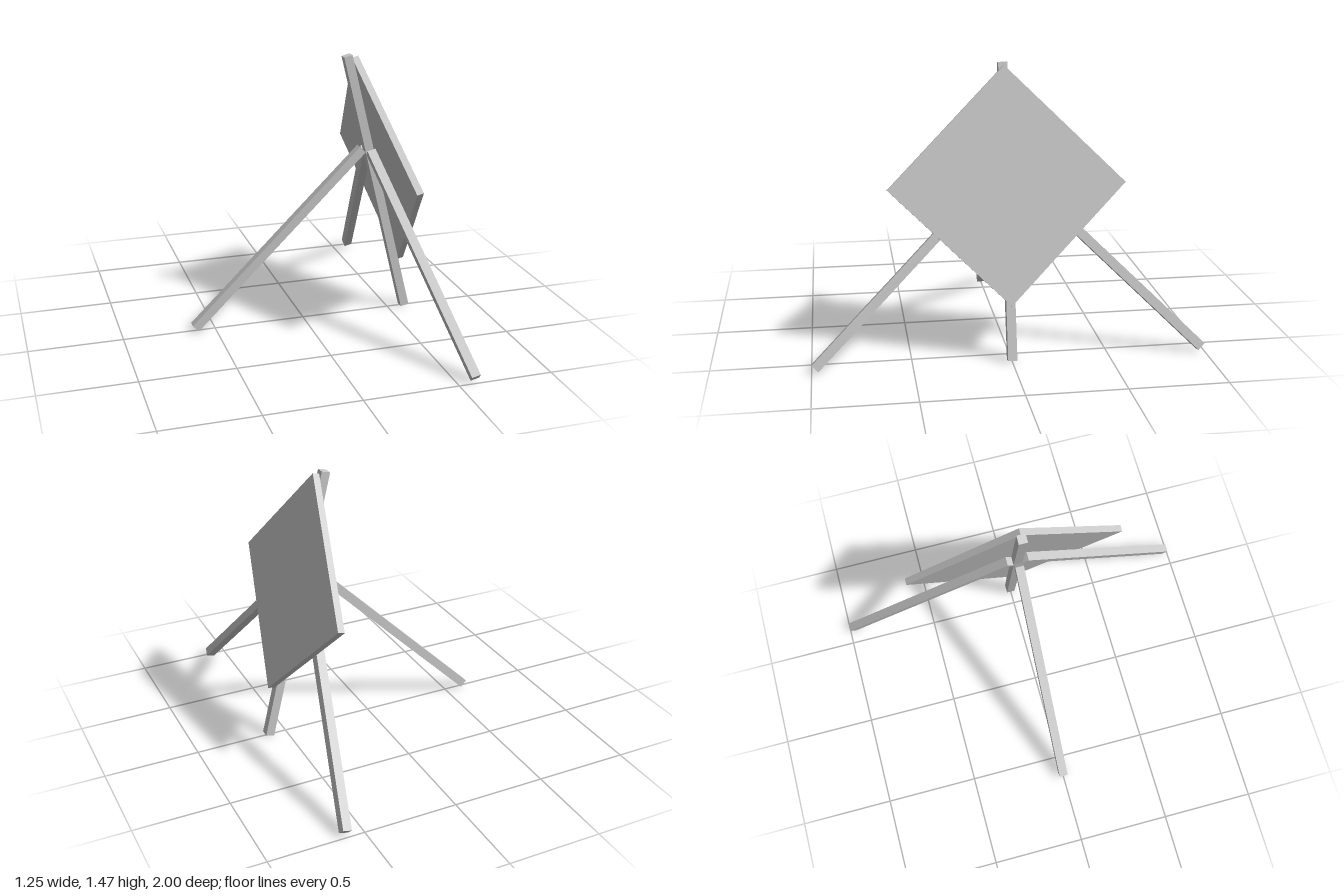
import * as THREE from 'three';

const BEAM = 0.047; // square section shared by post and legs
const TILT = 0.24; // backward lean of the easel face

export function createModel() {
  const model = new THREE.Group();
  model.name = 'easel';
  const material = new THREE.MeshStandardMaterial({ color: 0xcccccc, flatShading: true });

  function box(name, parent, size, position) {
    const mesh = new THREE.Mesh(new THREE.BoxGeometry(...size), material);
    mesh.name = name;
    mesh.position.set(...position);
    parent.add(mesh);
    return mesh;
  }

  // Leaning frame: local y runs up the post, local x points out of the board
  const frame = new THREE.Group();
  frame.name = 'leaningFrame';
  frame.position.set(0.598, 0.006, 0);
  frame.rotation.z = TILT;
  model.add(frame);

  box('centrePost', frame, [BEAM, 1.5, BEAM], [0, 0.75, 0]);

  // Square board standing on one corner, against the front of the post
  const thickness = 0.036;
  const board = box('board', frame, [thickness, 0.85, 0.85], [(BEAM + thickness) / 2, 0.88, 0]);
  board.rotation.x = Math.PI / 4;

  // Splayed legs in the plane of the post, one on each side
  for (const side of [-1, 1]) {
    const leg = box(side > 0 ? 'frontLeg' : 'backLeg', frame, [BEAM, 1.332, BEAM], [0, 0.488, side * 0.512]);
    leg.rotation.x = -side * Math.PI / 4;
  }

  // Rear prop reaching from the ground to the back of the post
  const prop = box('rearProp', model, [BEAM, 1.322, BEAM], [-0.14, 0.4845, 0]);
  prop.rotation.z = 0.7785 - Math.PI / 2;

  return model;
}
